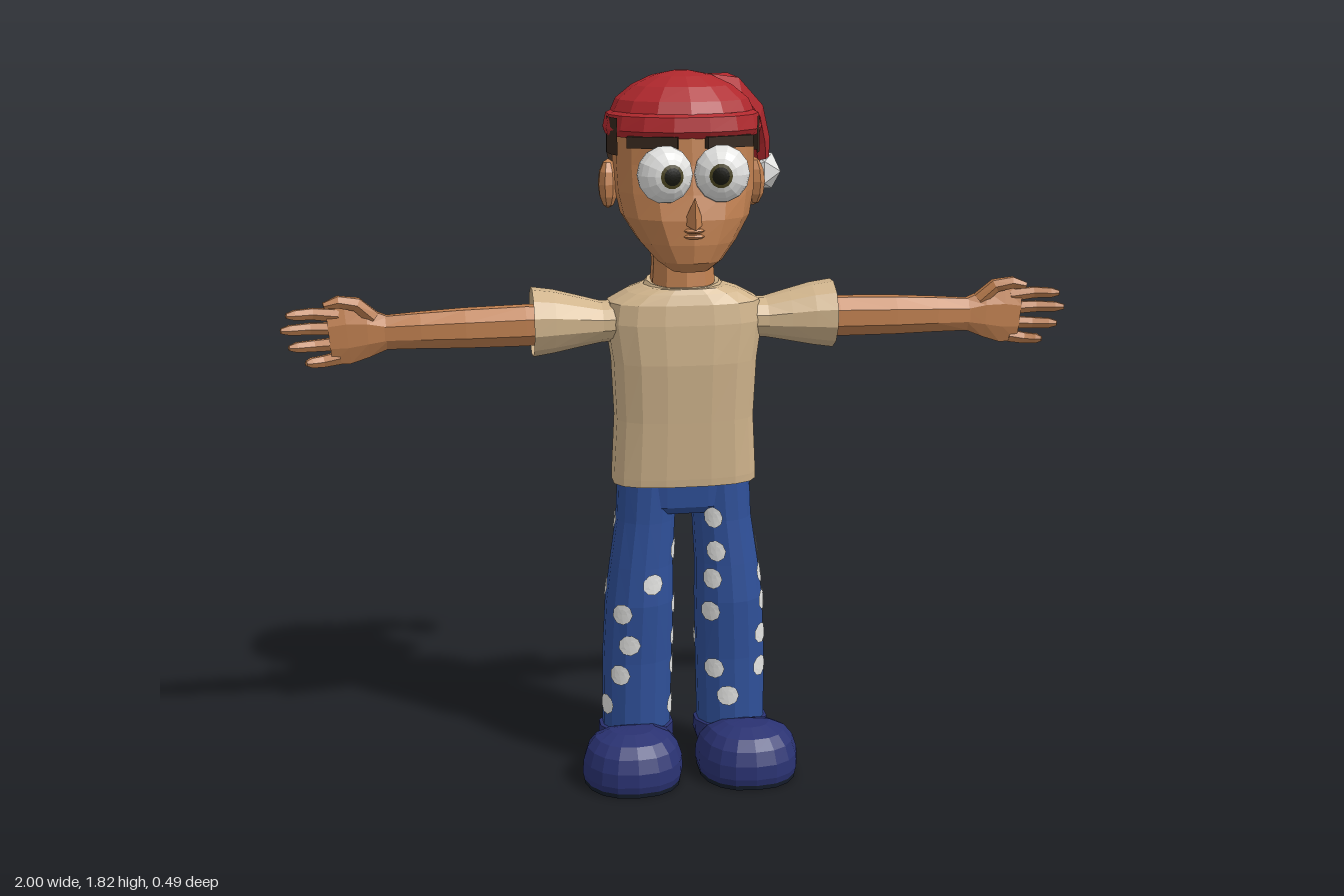
import * as THREE from 'three';

const mat = (name, color, side = THREE.FrontSide) => {
  const m = new THREE.MeshStandardMaterial({ color, side });
  m.name = name;
  return m;
};

// Faceted finish: every face keeps its own normal
function facet(geo) {
  const g = geo.index ? geo.toNonIndexed() : geo;
  g.computeVertexNormals();
  return g;
}

// Mirrored copy across x with the corner order restored
function mirror(geo) {
  const g = geo.clone().scale(-1, 1, 1), p = g.attributes.position;
  const a = new THREE.Vector3(), b = new THREE.Vector3();
  for (let i = 0; i < p.count; i += 3) {
    a.fromBufferAttribute(p, i + 1);
    b.fromBufferAttribute(p, i + 2);
    p.setXYZ(i + 1, b.x, b.y, b.z);
    p.setXYZ(i + 2, a.x, a.y, a.z);
  }
  g.computeVertexNormals();
  return g;
}

const round = (t, p) => Math.sign(t) * Math.abs(t) ** (2 / p);

// Skin over rings; each row is [x, y, z, radius across, radius in depth]
function limb(rows, sides = 10, p = 2, caps = true) {
  const pos = [], idx = [], n = rows.length;
  const c = rows.map(r => new THREE.Vector3(r[0], r[1], r[2]));
  const depth = new THREE.Vector3(0, 0, 1);
  rows.forEach((r, i) => {
    const t = c[Math.min(i + 1, n - 1)].clone().sub(c[Math.max(i - 1, 0)]);
    if (p !== 2) t.set(0, 1, 0);
    t.normalize();
    const u = depth.clone().cross(t).normalize(), v = t.clone().cross(u);
    for (let j = 0; j < sides; j++) {
      const a = (j + 0.5) / sides * Math.PI * 2;
      const q = c[i].clone().addScaledVector(u, round(Math.cos(a), p) * r[3])
        .addScaledVector(v, round(Math.sin(a), p) * r[4]);
      pos.push(q.x, q.y, q.z);
    }
  });
  for (let i = 0; i < n - 1; i++) for (let j = 0; j < sides; j++) {
    const k = (j + 1) % sides, a = i * sides, b = a + sides;
    idx.push(a + j, a + k, b + k, a + j, b + k, b + j);
  }
  if (caps) for (let j = 1; j < sides - 1; j++) {
    const e = (n - 1) * sides;
    idx.push(0, j + 1, j, e, e + j, e + j + 1);
  }
  const g = new THREE.BufferGeometry();
  g.setAttribute('position', new THREE.Float32BufferAttribute(pos, 3));
  g.setIndex(idx);
  return facet(g);
}

// Leg rings: [y, centre x, centre z, radius x, radius z]
const LEG = [[0.08, 0.127, 0, 0.09, 0.078], [0.3, 0.124, 0, 0.092, 0.079], [0.46, 0.118, 0.006, 0.09, 0.083],
  [0.56, 0.112, 0.004, 0.083, 0.08], [0.68, 0.1, 0, 0.077, 0.079], [0.8, 0.092, 0, 0.08, 0.08]];

function legAt(y) {
  let i = 0;
  while (i < LEG.length - 2 && y > LEG[i + 1][0]) i++;
  const t = (y - LEG[i][0]) / (LEG[i + 1][0] - LEG[i][0]);
  return LEG[i].map((v, k) => v + (LEG[i + 1][k] - v) * t);
}

// Round spot wrapped onto a leg; angle runs from the front toward +x
function spot(side, degrees, y) {
  const g = facet(new THREE.RingGeometry(0, 0.027, 9, 2)), p = g.attributes.position;
  for (let i = 0; i < p.count; i++) {
    const yy = y + p.getY(i) * 1.05, [, cx, cz, rx, rz] = legAt(yy);
    const a = degrees * Math.PI / 180 + p.getX(i) / 0.085;
    p.setXYZ(i, side * cx + (rx + 0.0035) * Math.sin(a), yy, cz + (rz + 0.0035) * Math.cos(a));
  }
  return facet(g);
}

const SPOTS = {
  '1': [[-25, .69], [-25, .6], [-35, .525], [-40, .435], [-35, .275], [-12, .2], [88, .6], [72, .525], [68, .45],
    [55, .36], [50, .27], [140, .74], [150, .62], [140, .45], [150, .33], [140, .19], [190, .68], [195, .53],
    [200, .4], [205, .25], [-95, .35]],
  '-1': [[15, .52], [-35, .44], [-20, .355], [-35, .27], [-65, .18], [70, .6], [75, .45], [75, .36], [75, .28],
    [70, .17], [-95, .68], [-95, .5], [180, .7], [150, .62], [205, .57], [165, .46], [212, .38], [165, .29],
    [190, .18], [-110, .3]]
};

// Horizontal shoe rings, lowered at the heel and widened at the toe
function shoe(rows) {
  const g = limb(rows.map(([y, s]) => [0, y, 0.088, 0.133 * s, 0.158 * s]), 18, 2.4), p = g.attributes.position;
  for (let i = 0; i < p.count; i++) {
    const z = p.getZ(i), t = THREE.MathUtils.smoothstep(z, -0.09, 0.12);
    p.setX(i, 0.127 + 0.026 * t + p.getX(i) * (0.76 + 0.24 * t));
    p.setY(i, p.getY(i) * (0.52 + 0.48 * t));
  }
  return facet(g);
}

export function createModel() {
  const model = new THREE.Group();
  model.name = 'figure';
  const skin = mat('skin', 0xc08050), shirt = mat('shirt cloth', 0xd0b48c, THREE.DoubleSide);
  const denim = mat('trouser blue', 0x2f5099), navy = mat('shoe navy', 0x2a3272), soleMat = mat('sole', 0x141c2a);
  const red = mat('hat red', 0xb0282d), hairMat = mat('hair brown', 0x36271d, THREE.DoubleSide);
  const white = mat('white', 0xe4e4e2), irisMat = mat('iris', 0x4a4420), black = mat('pupil black', 0x14140c);

  const add = (name, geo, m) => {
    const mesh = new THREE.Mesh(geo, m);
    mesh.name = name;
    model.add(mesh);
    return mesh;
  };
  const pair = (name, geo, m) => {
    const g = facet(geo);
    add('left' + name, g, m);
    add('right' + name, mirror(g), m);
  };

  // Shirt, collar and neck
  add('torso', limb([[0, .78, .002, .186, .093], [0, .8, .002, .186, .095], [0, .95, .003, .178, .103],
    [0, 1.1, .004, .185, .112], [0, 1.2, 0, .2, .112], [0, 1.25, -.003, .192, .108],
    [0, 1.275, -.005, .145, .1], [0, 1.288, -.006, .105, .094]], 16, 2.8), shirt);
  const collar = facet(new THREE.TorusGeometry(0.09, 0.011, 5, 14).rotateX(Math.PI / 2 + 0.1));
  add('collar', collar, shirt).position.set(0, 1.288, -0.012);
  add('neck', limb([[0, 1.26, -.014, .086, .078], [0, 1.34, -.016, .08, .072], [0, 1.44, -.02, .084, .076]], 10), skin);

  // Head with the chin pushed forward
  add('head', limb([[0, 1.34, .105, .045, .035], [0, 1.365, .082, .082, .083], [0, 1.41, .046, .122, .126],
    [0, 1.47, .02, .16, .15], [0, 1.53, .007, .173, .147], [0, 1.6, -.004, .176, .144],
    [0, 1.71, -.008, .175, .137]], 14, 2.3), skin);
  const nose = facet(new THREE.ConeGeometry(0.026, 0.07, 4).scale(1, 1, 1.5));
  const noseMesh = add('nose', nose, skin);
  noseMesh.position.set(0, 1.495, 0.168);
  noseMesh.rotation.x = 0.3;
  for (const y of [1.432, 1.446]) {
    add('lip', facet(new THREE.SphereGeometry(1, 8, 4).scale(0.026, 0.007, 0.014)), skin).position.set(0, y, 0.168);
  }
  pair('Ear', new THREE.SphereGeometry(1, 8, 6).scale(.026, .062, .042).rotateY(0.3).translate(.184, 1.54, -.035), skin);

  // Eyes, with iris and pupil as thin caps looking slightly inward
  const eyePart = (r, angle) => new THREE.SphereGeometry(r, 14, angle > 3 ? 10 : 3, 0, Math.PI * 2, 0, angle)
    .rotateX(Math.PI / 2).rotateY(-0.17).scale(0.068, 0.07, 0.052).translate(0.07, 1.582, 0.155);
  pair('Eye', eyePart(1, Math.PI), white);
  pair('Iris', eyePart(1.03, 0.42), irisMat);
  pair('Pupil', eyePart(1.05, 0.3), black);
  pair('Eyebrow', new THREE.BoxGeometry(.125, .028, .03).rotateY(0.33).translate(.092, 1.655, .112), hairMat);

  // Hair wraps the sides and back, reaching lowest at the nape
  const hair = new THREE.PlaneGeometry(1, 1, 18, 3), hp = hair.attributes.position;
  for (let i = 0; i < hp.count; i++) {
    const a = THREE.MathUtils.degToRad(180 + hp.getX(i) * 232), v = hp.getY(i) + 0.5;
    const low = 1.62 - 0.115 * THREE.MathUtils.smoothstep(-Math.cos(a), 0.15, 0.8);
    const y = low + (1.71 - low) * v, k = y < 1.58 ? 0.985 : 1;
    hp.setXYZ(i, 0.19 * k * round(Math.sin(a), 2.3), y, -0.008 + 0.155 * k * round(Math.cos(a), 2.3));
  }
  add('hair', facet(hair), hairMat);

  // Hat with a folded band, drooping tail and bobble
  add('hatBand', limb([[0, 1.664, -.018, .192, .153], [0, 1.68, -.018, .198, .162], [0, 1.715, -.02, .19, .158],
    [0, 1.722, -.02, .176, .146]], 16, 2.2), red);
  add('hatCrown', limb([[0, 1.71, -.022, .184, .153], [0, 1.75, -.024, .166, .138], [0, 1.783, -.026, .125, .105],
    [0, 1.806, -.028, .075, .065], [0, 1.817, -.028, .02, .02]], 14, 2.1), red);
  add('hatTail', limb([[-.01, 1.74, 0, .05, .05], [.05, 1.758, -.03, .056, .058], [.12, 1.752, -.08, .056, .054],
    [.185, 1.7, -.13, .047, .047], [.22, 1.63, -.17, .034, .034], [.236, 1.56, -.194, .022, .022]], 8), red);
  add('bobble', facet(new THREE.IcosahedronGeometry(0.054, 0)), white).position.set(0.238, 1.545, -0.197);

  // Sleeves, arms and hands
  pair('Sleeve', limb([[.16, 1.2, 0, .052, .066], [.21, 1.198, 0, .052, .066], [.27, 1.2, 0, .066, .074],
    [.33, 1.202, 0, .08, .083], [.384, 1.202, 0, .088, .089]], 12, 2, false), shirt);
  pair('Arm', limb([[.2, 1.195, 0, .045, .04], [.4, 1.194, 0, .054, .046], [.55, 1.192, 0, .052, .046],
    [.66, 1.19, 0, .048, .038], [.75, 1.187, 0, .045, .026], [.78, 1.187, 0, .05, .026]], 8), skin);
  pair('Palm', limb([[.74, 1.187, 0, .044, .026], [.79, 1.188, 0, .066, .027], [.84, 1.184, 0, .078, .024],
    [.885, 1.18, .002, .072, .018]], 8), skin);
  [[1.24, .985], [1.203, 1], [1.16, .982], [1.12, .942]].forEach(([y, tip], i) => {
    const base = 1.18 + (y - 1.18) * 0.88, l = tip - 0.86;
    pair('Finger' + (i + 1), limb([[.86, base, .002, .018, .015], [.86 + l * .5, y, .006, .016, .014],
      [.86 + l * .85, y, .019, .014, .012], [tip, y, .027, .007, .006]], 6), skin);
  });
  pair('Thumb', limb([[.775, 1.225, .005, .02, .018], [.815, 1.262, .014, .019, .018],
    [.86, 1.27, .02, .017, .016], [.895, 1.262, .026, .009, .009]], 6), skin);

  // Trousers with spots
  add('hips', limb([[0, .7, 0, .13, .06], [0, .72, 0, .17, .076], [0, .81, 0, .174, .083]], 16, 2.8), denim);
  pair('Leg', limb(LEG.map(([y, cx, cz, rx, rz]) => [cx, y, cz, rx, rz]), 14, 2.0001), denim);
  for (const side of [1, -1]) {
    for (const [angle, y] of SPOTS[side]) add('trouserSpot', spot(side, angle, y), white);
  }

  // Slippers: upper, heel cuff and dark sole
  pair('Shoe', shoe([[.012, .97], [.03, 1], [.065, .985], [.1, .9], [.125, .74], [.14, .45], [.142, .1]]), navy);
  pair('ShoeSole', shoe([[0, .96], [.013, .97]]), soleMat);
  pair('ShoeCuff', limb([[.127, .05, -.002, .09, .078], [.127, .08, -.002, .1, .086], [.127, .112, -.002, .099, .085],
    [.127, .116, -.002, .088, .076]], 14), navy);

  return model;
}
